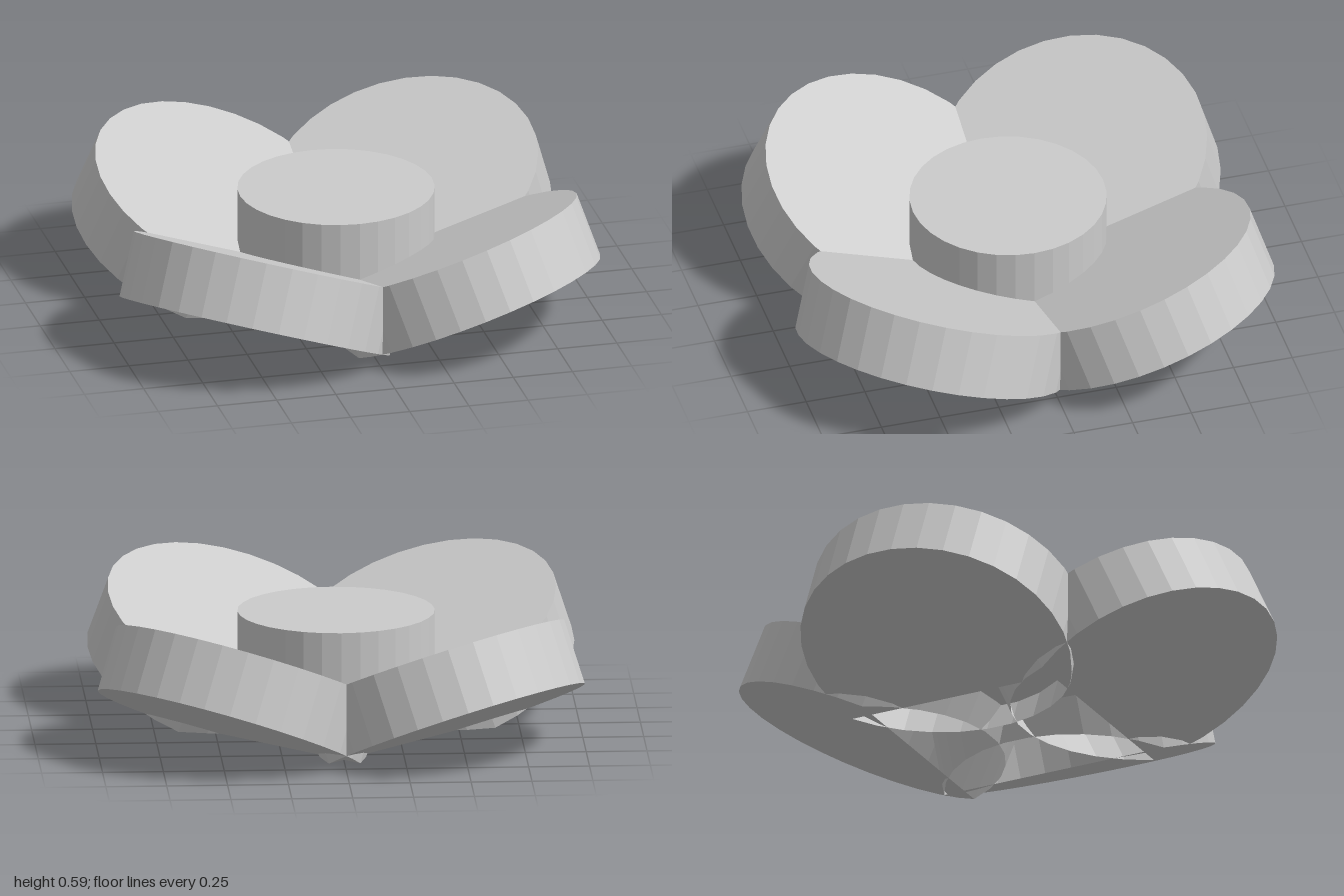
import * as THREE from 'three';

const R = 0.567, THICK = 0.274, TILT = 0.426; // petal disc radius, thickness, tilt
const OUT = 0.648, LIFT = 0.106;              // centre of a petal's lower face

// Tilted disc, open where its underside is sliced off by the ground plane
function petalGeometry() {
  const phi = Math.acos(-LIFT / Math.sin(TILT) / R); // half arc of the lower face that stays
  const angles = [];
  for (let i = 0; i < 21; i++) angles.push(-phi + (2 * phi * i) / 21);
  for (let i = 0; i < 11; i++) angles.push(phi + (2 * (Math.PI - phi) * i) / 11);
  const top = angles.map(a => new THREE.Vector3(R * Math.cos(a), THICK, -R * Math.sin(a)));
  // lower rim slides up along the disc axis until it meets the ground
  const low = top.map(p => new THREE.Vector3(
    p.x, Math.max(0, -(LIFT + p.x * Math.sin(TILT)) / Math.cos(TILT)), p.z));

  const pts = [];
  const centre = new THREE.Vector3(0, THICK, 0);
  for (let i = 0; i < 32; i++) {
    const j = (i + 1) % 32;
    pts.push(low[i], low[j], top[j], low[i], top[j], top[i]); // rim
    pts.push(centre, top[i], top[j]);                         // upper face
  }
  for (let i = 1; i < 21; i++) pts.push(low[0], low[i + 1], low[i]); // lower face up to the cut

  const g = new THREE.BufferGeometry().setFromPoints(pts);
  g.computeVertexNormals();
  g.rotateZ(TILT);
  g.translate(OUT, LIFT, 0);
  return g;
}

export function createModel() {
  const model = new THREE.Group();
  model.name = 'flower';
  const mat = new THREE.MeshStandardMaterial({
    color: 0xcccccc, flatShading: true, side: THREE.DoubleSide });

  // Four petals on the diagonals
  const geo = petalGeometry();
  for (let k = 0; k < 4; k++) {
    const petal = new THREE.Mesh(geo, mat);
    petal.name = 'petal' + (k + 1);
    petal.rotation.y = Math.PI / 4 + (k * Math.PI) / 2;
    model.add(petal);
  }

  // Round centre, sunk into the petals
  const bottom = 0.22, topY = 0.49;
  const centre = new THREE.Mesh(new THREE.CylinderGeometry(0.405, 0.405, topY - bottom, 32), mat);
  centre.name = 'flowerCentre';
  centre.position.y = (topY + bottom) / 2;
  model.add(centre);
  return model;
}
